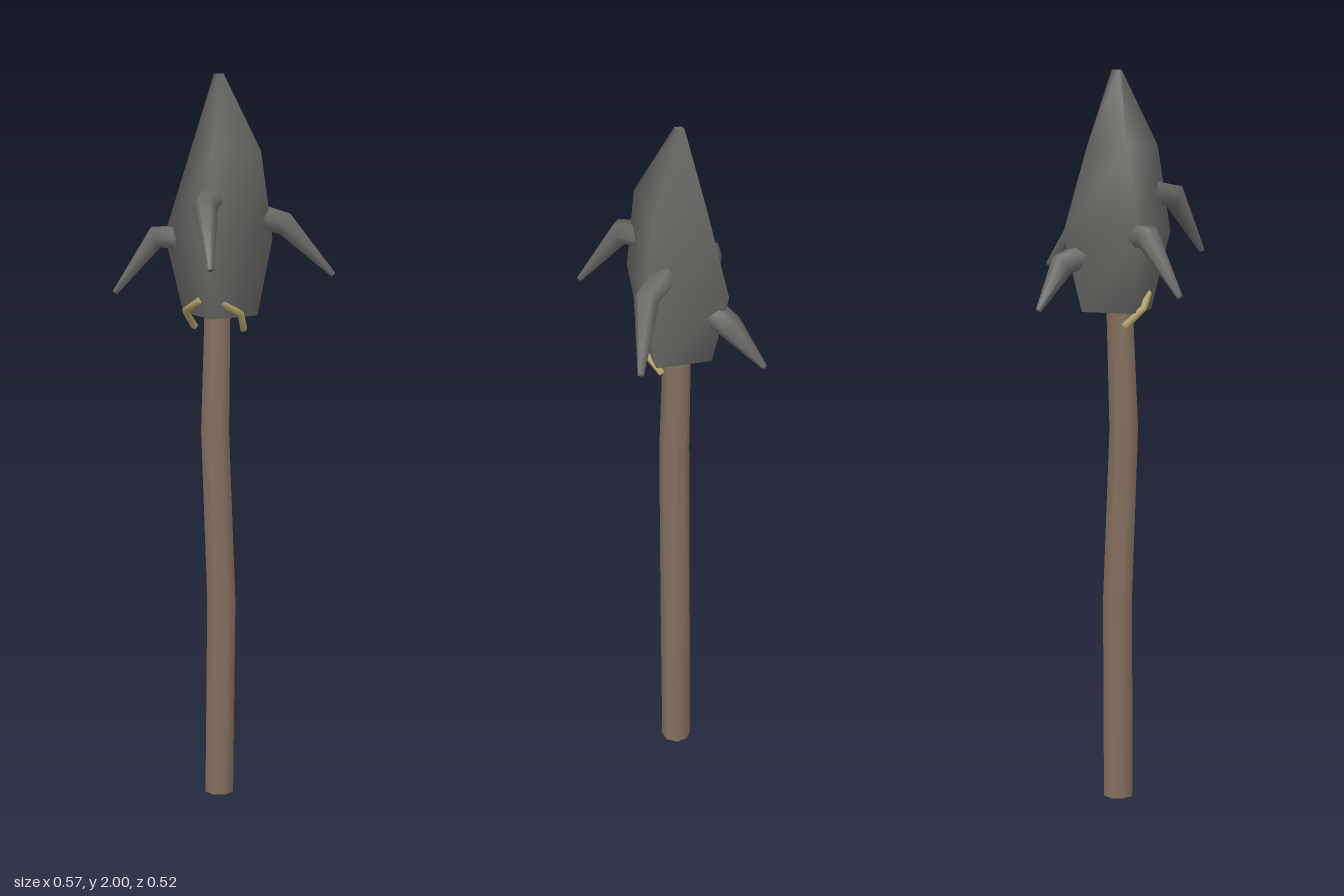
import * as THREE from 'three';

// Skin a list of equal-sized rings: smooth sides, flat end caps
function loft(rings, smoothCaps = false) {
  const n = rings[0].length;
  const pos = [], idx = [];
  const addRing = (ring) => {
    const start = pos.length / 3;
    ring.forEach((p) => pos.push(p.x, p.y, p.z));
    return start;
  };
  rings.forEach(addRing);
  for (let r = 0; r < rings.length - 1; r++) {
    for (let i = 0; i < n; i++) {
      const j = (i + 1) % n;
      const a = r * n + i, b = r * n + j, c = a + n, d = b + n;
      idx.push(a, b, d, a, d, c);
    }
  }
  const first = addRing(rings[0]);
  const last = addRing(rings[rings.length - 1]);
  for (let i = 1; i < n - 1; i++) {
    idx.push(first, first + i + 1, first + i);
    idx.push(last, last + i, last + i + 1);
  }
  const geo = new THREE.BufferGeometry();
  geo.setAttribute('position', new THREE.Float32BufferAttribute(pos, 3));
  geo.setIndex(idx);
  geo.computeVertexNormals();
  return geo;
}

// Tapered bent rod; each stop is [x, y, z, radius]
function bentRod(stops, sides, ref) {
  const pts = stops.map((s) => new THREE.Vector3(s[0], s[1], s[2]));
  const rings = pts.map((p, k) => {
    const before = p.clone().sub(pts[Math.max(k - 1, 0)]).normalize();
    const after = pts[Math.min(k + 1, pts.length - 1)].clone().sub(p).normalize();
    const t = before.add(after).normalize();
    const u = ref.clone().cross(t).normalize();
    const v = t.clone().cross(u);
    return Array.from({ length: sides }, (_, i) => {
      const a = (i / sides) * Math.PI * 2;
      return p.clone()
        .addScaledVector(u, Math.cos(a) * stops[k][3])
        .addScaledVector(v, Math.sin(a) * stops[k][3]);
    });
  });
  return loft(rings);
}

export function createModel() {
  const group = new THREE.Group();
  const material = (name, color) => {
    const m = new THREE.MeshStandardMaterial({ color });
    m.name = name;
    return m;
  };
  const stone = material('darkStone', 0x686865);
  const wood = material('brownWood', 0x84705f);
  const cord = material('tanCord', 0xb3a468);
  const add = (name, geo, mat) => {
    const mesh = new THREE.Mesh(geo, mat);
    mesh.name = name;
    group.add(mesh);
  };

  const X = new THREE.Vector3(1, 0, 0);
  const Y = new THREE.Vector3(0, 1, 0);
  const Z = new THREE.Vector3(0, 0, 1);

  // Slightly crooked shaft
  add('shaft', bentRod([
    [-0.006, 0, -0.014, 0.042],
    [0, 0.56, -0.014, 0.042],
    [-0.013, 1.04, 0, 0.041],
    [-0.01, 1.4, -0.012, 0.037],
  ], 8, Z), wood);

  // Four-cornered head; each row is y, then right, back, left, front corners as x, z
  const headRows = [
    [1.36, 0.098, -0.03, -0.02, -0.12, -0.107, -0.005, 0.015, 0.087],
    [1.57, 0.14, -0.03, -0.022, -0.172, -0.16, -0.003, 0.012, 0.14],
    [1.8, 0.107, -0.028, -0.015, -0.103, -0.088, -0.015, 0.02, 0.106],
    [2, 0.004, -0.021, -0.012, -0.033, -0.022, -0.016, -0.006, -0.004],
  ];
  add('spearHead', loft(headRows.map(([y, ...c]) =>
    [0, 2, 4, 6].map((i) => new THREE.Vector3(c[i], y, c[i + 1])))), stone);

  // Four swept-down barbs: root, bend, tip
  const barbs = {
    leftBarb: [[0.08, 1.63, -0.042], [0.165, 1.607, -0.055], [0.278, 1.467, -0.13]],
    rightBarb: [[-0.1, 1.565, -0.002], [-0.178, 1.565, 0.015], [-0.276, 1.416, 0.07]],
    backBarb: [[-0.02, 1.52, -0.1], [-0.022, 1.488, -0.175], [-0.07, 1.372, -0.254]],
    frontBarb: [[0.005, 1.675, 0.08], [0.018, 1.665, 0.152], [0.072, 1.512, 0.252]],
  };
  const barbRadii = [0.036, 0.034, 0.008];
  for (const [name, stops] of Object.entries(barbs)) {
    add(name, bentRod(stops.map((s, i) => [...s, barbRadii[i]]), 6, Y), stone);
  }

  // Two bits of cord hooked under the front of the head
  add('leftCord', bentRod([
    [0.03, 1.402, 0.064, 0.01], [0.072, 1.373, 0.032, 0.01], [0.062, 1.322, -0.02, 0.01],
  ], 5, X), cord);
  add('rightCord', bentRod([
    [-0.03, 1.407, 0.064, 0.01], [-0.086, 1.372, 0.032, 0.01], [-0.08, 1.322, -0.02, 0.01],
  ], 5, X), cord);

  return group;
}
